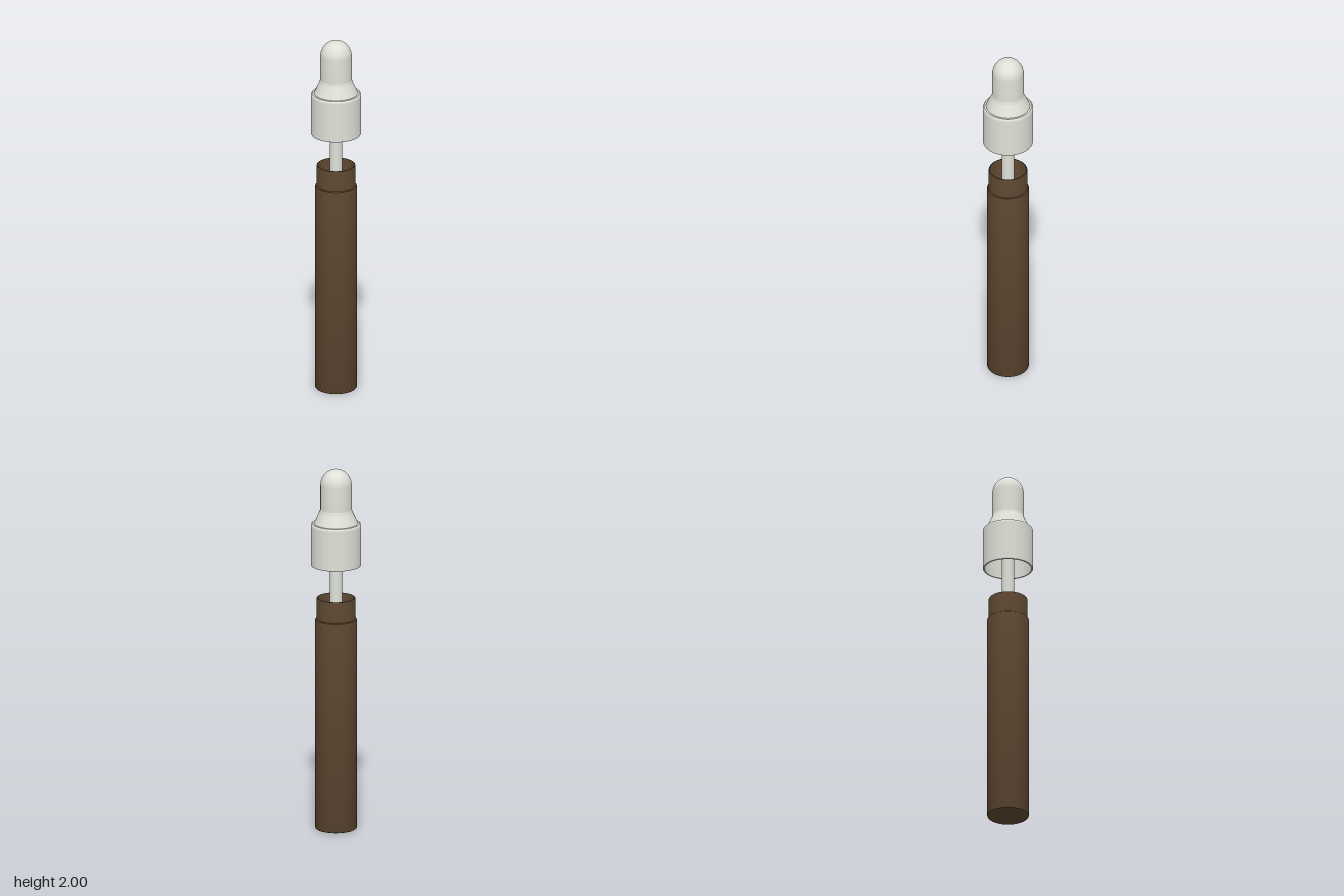
import * as THREE from 'three';
import { toCreasedNormals } from 'three/addons/utils/BufferGeometryUtils.js';

const amber = new THREE.MeshStandardMaterial({ color: 0x5c4630 });
amber.name = 'amber glass';
const white = new THREE.MeshStandardMaterial({ color: 0xdfe0d7 });
white.name = 'off white';

// Turned part from a [radius, height] profile; a small crease angle gives facets
function turned(name, profile, material, segments = 48, crease = 0.5) {
  const points = profile.map(([r, y]) => new THREE.Vector2(r, y));
  const geometry = toCreasedNormals(new THREE.LatheGeometry(points, segments), crease);
  const mesh = new THREE.Mesh(geometry, material);
  mesh.name = name;
  return mesh;
}

export function createModel() {
  const model = new THREE.Group();
  model.name = 'dropperBottle';

  // Hollow bottle: base, wall, shoulder, neck, then down the inside
  model.add(turned('bottle', [
    [0, 0], [0.106, 0], [0.111, 0.003], [0.113, 0.009],
    [0.113, 1.158], [0.111, 1.166], [0.105, 1.17],
    [0.105, 1.278], [0.103, 1.285], [0.099, 1.286],
    [0.097, 1.28], [0.097, 0.02], [0, 0.02],
  ], amber));

  // Glass pipette, from inside the bottle up into the cap
  const pipette = new THREE.Mesh(new THREE.CylinderGeometry(0.035, 0.035, 1.46, 32), white);
  pipette.name = 'pipette';
  pipette.position.y = 0.95;
  model.add(pipette);

  // Screw cap, open underneath
  model.add(turned('cap', [
    [0, 1.68], [0.126, 1.68], [0.126, 1.466], [0.133, 1.466], [0.135, 1.47],
    [0.135, 1.688], [0.133, 1.695], [0.128, 1.7], [0, 1.7],
  ], white, 40, 0.1));

  // Flared foot of the rubber bulb
  model.add(turned('bulbFoot', [
    [0.118, 1.695], [0.118, 1.702], [0.089, 1.765], [0.085, 1.78],
  ], white, 32, 0.1));

  // Bulb with a domed end
  const bulb = [[0.085, 1.775]];
  for (let i = 0; i <= 12; i++) {
    const a = (i / 12) * Math.PI / 2;
    bulb.push([i === 12 ? 0 : 0.085 * Math.cos(a), 1.915 + 0.085 * Math.sin(a)]);
  }
  model.add(turned('bulb', bulb, white));

  return model;
}
